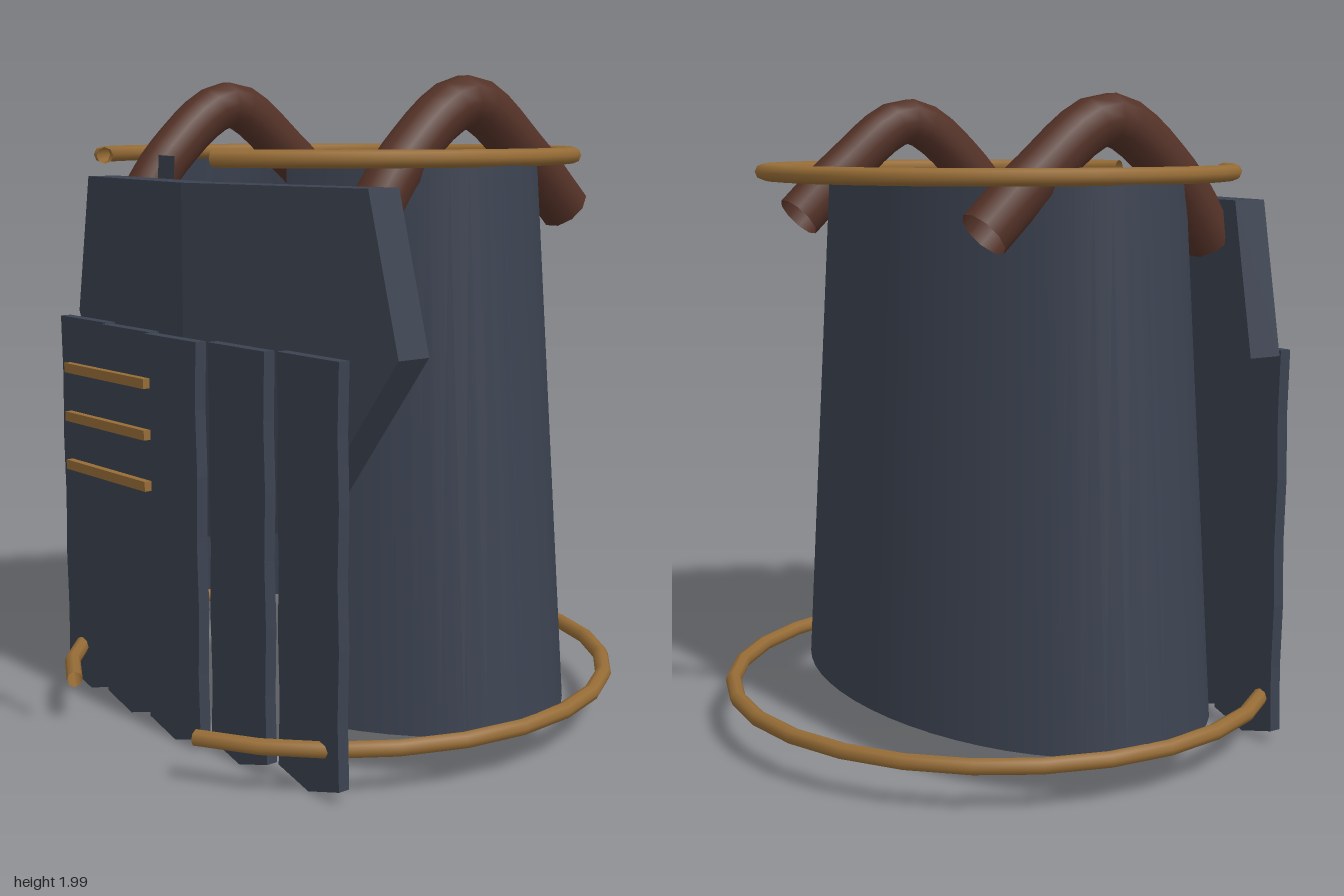
import * as THREE from 'three';

export function createModel() {
  const model = new THREE.Group();
  model.name = 'armouredTunic';

  const material = (name, color) => {
    const m = new THREE.MeshStandardMaterial({ color, side: THREE.DoubleSide });
    m.name = name;
    return m;
  };
  const slate = material('slate', 0x3b4250);
  const brass = material('brass', 0x966c36);
  const leather = material('brown leather', 0x543227);

  const add = (name, geometry, mat) => {
    const mesh = new THREE.Mesh(geometry, mat);
    mesh.name = name;
    model.add(mesh);
    return mesh;
  };
  const shapeOf = (points) => new THREE.Shape(points.map(([x, y]) => new THREE.Vector2(x, y)));

  // Every wrap-around part leaves the same opening at the front
  const gap = Math.PI / 8;
  const arc = Math.PI * 2 - gap * 2;

  // Tapered oval shell, open above, below and at the front
  const shell = new THREE.CylinderGeometry(0.735, 0.86, 1.62, 48, 1, true, gap, arc);
  shell.scale(1, 1, 0.62);
  shell.translate(0, 0.95, 0);
  add('bodyShell', shell, slate);

  // Round trim hoops at the collar and hem
  const addHoop = (name, radius, y) => {
    const hoop = new THREE.TorusGeometry(radius, 0.025, 8, 24, arc);
    hoop.rotateZ(Math.PI / 2 + gap);
    hoop.rotateX(Math.PI / 2);
    hoop.translate(0, y, 0);
    add(name, hoop, brass);
  };
  addHoop('collarHoop', 0.73, 1.765);
  addHoop('hemHoop', 0.86, 0.145);

  // Breastplate: two slabs swept back from a central crease
  const plateHalf = new THREE.ExtrudeGeometry(
    shapeOf([[0, 0.63], [0.45, 0.72], [0.805, 1.24], [0.7, 1.69], [0, 1.69]]),
    { depth: 0.11, bevelEnabled: false });
  const pos = plateHalf.attributes.position;
  for (let i = 0; i < pos.count; i++) {
    pos.setZ(i, pos.getZ(i) + 0.482 - 0.165 * pos.getX(i));
  }
  plateHalf.computeVertexNormals();
  add('leftBreastplate', plateHalf, slate);
  add('rightBreastplate', plateHalf, slate).scale.x = -1;

  // Hanging strips with slightly uneven edges and pointed tips
  const rows = 6;
  const edge = [];
  for (let i = 0; i <= rows; i++) {
    edge.push([i % 2 ? 0.129 : 0.135, 1.24 - i * 0.199]);
  }
  const outline = [...edge, [0, 0.008], ...edge.map(([x, y]) => [-x, y]).reverse()];
  const strip = new THREE.ExtrudeGeometry(shapeOf(outline), { depth: 0.037, bevelEnabled: false });
  for (let i = -2; i <= 2; i++) {
    add('skirtStrip', strip, slate).position.set(i * 0.288, 0, 0.606 - Math.abs(i) * 0.0285);
  }

  // Three clasp bars in front of the strips
  for (const y of [0.86, 1.005, 1.15]) {
    add('claspBar', new THREE.BoxGeometry(0.42, 0.028, 0.022), brass).position.set(0, y, 0.862);
  }

  // Arched shoulder straps
  const strapPath = new THREE.CatmullRomCurve3([
    [1.565, 0.385], [1.755, 0.245], [1.922, 0], [1.76, -0.25], [1.61, -0.415],
  ].map(([y, z]) => new THREE.Vector3(0, y, z)));
  const strap = new THREE.TubeGeometry(strapPath, 18, 0.077, 10, false);
  add('leftShoulderStrap', strap, leather).position.x = 0.573;
  add('rightShoulderStrap', strap, leather).position.x = -0.573;

  return model;
}
